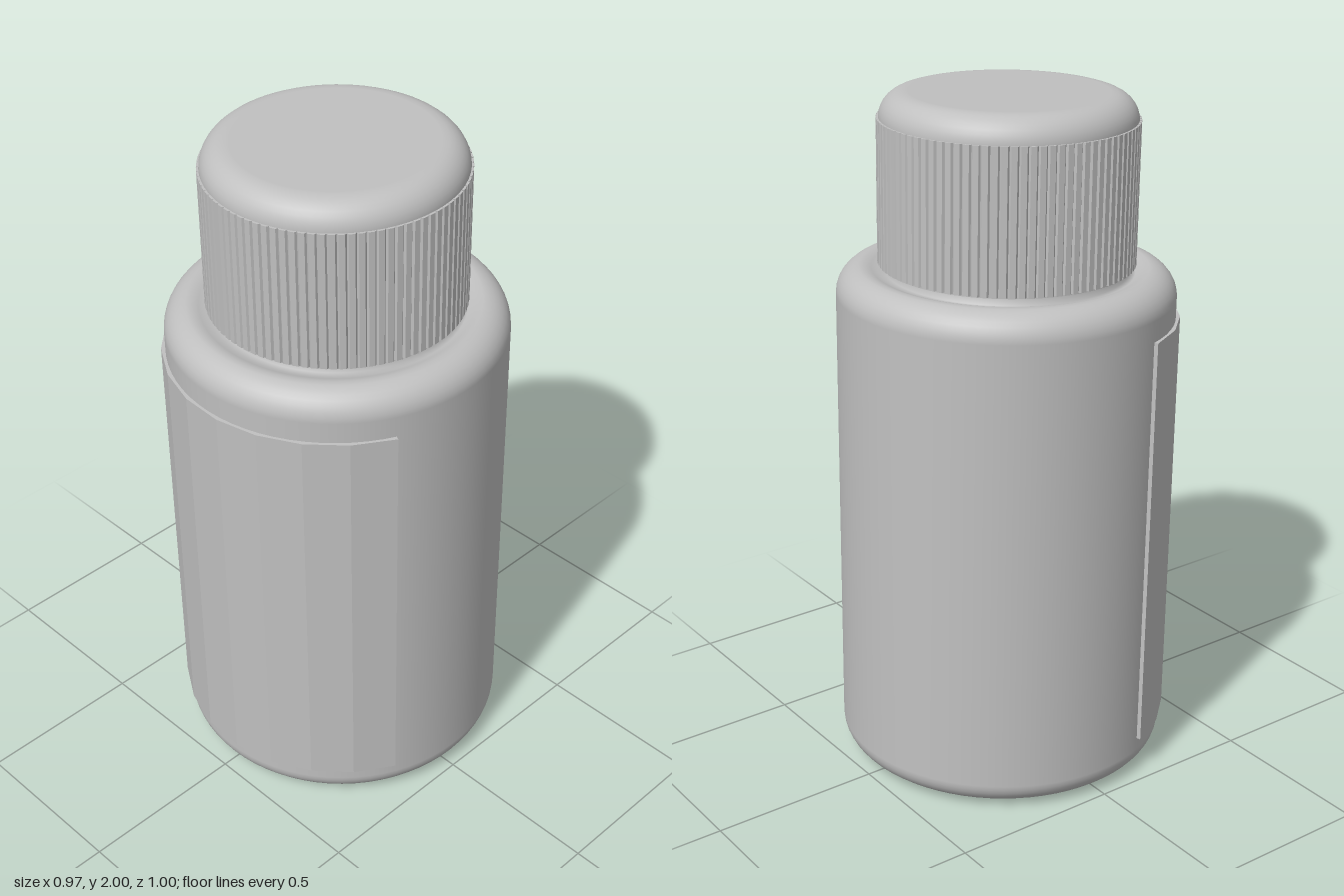
import * as THREE from 'three';

const V = (x, y) => new THREE.Vector2(x, y);

// Quarter-round profile points about (cx, cy), from angle a0 to a1 in degrees
function arc(cx, cy, r, a0, a1, n = 8) {
  return Array.from({ length: n + 1 }, (_, i) => {
    const a = THREE.MathUtils.degToRad(a0 + ((a1 - a0) * i) / n);
    return V(cx + r * Math.cos(a), cy + r * Math.sin(a));
  });
}

export function createModel() {
  const model = new THREE.Group();
  model.name = 'bottle';
  const gray = new THREE.MeshStandardMaterial({ color: 0xc0c0c0 });
  gray.name = 'plain gray';

  // The bottle leans forward very slightly about its middle
  const lean = new THREE.Group();
  lean.name = 'leaningBottle';
  lean.position.set(0, 1, 0.0025);
  lean.rotation.x = 0.0165;
  model.add(lean);

  const add = (name, geometry, y = 0) => {
    const mesh = new THREE.Mesh(geometry, gray);
    mesh.name = name;
    mesh.position.y = y - 1;
    lean.add(mesh);
  };

  // Body: domed recess underneath, rounded foot and shoulder, short neck
  add('body', new THREE.LatheGeometry([
    V(0, 0.06), V(0.1, 0.058), V(0.2, 0.051), V(0.28, 0.04), V(0.34, 0.024), V(0.38, 0.011),
    ...arc(0.415, 0.077, 0.07, -90, 0),
    ...arc(0.405, 1.42, 0.08, 0, 90),
    V(0.385, 1.494), V(0.365, 1.485), V(0.345, 1.484), V(0.345, 1.52),
  ], 72));

  // Cap: plain core with a rounded top edge
  add('cap', new THREE.LatheGeometry([
    V(0, 1.508), V(0.361, 1.508), V(0.361, 1.508), V(0.361, 1.6), V(0.361, 1.85),
    ...arc(0.286, 1.918, 0.075, 0, 90),
    V(0.28, 1.993), V(0, 1.993),
  ], 72));

  // Fine vertical ribs around the cap
  const teeth = 90;
  const ribs = new THREE.Shape();
  for (let i = 0; i < teeth; i++) {
    [[0, 0.361], [0.18, 0.367], [0.82, 0.367], [1, 0.361]].forEach(([t, r], k) => {
      if (k === 3) return;
      const a = ((i + t) / teeth) * Math.PI * 2;
      const p = [r * Math.cos(a), r * Math.sin(a)];
      if (i + k === 0) ribs.moveTo(...p);
      else ribs.lineTo(...p);
    });
  }
  ribs.closePath();
  const ribGeometry = new THREE.ExtrudeGeometry(ribs, { depth: 0.41, bevelEnabled: false });
  ribGeometry.rotateX(-Math.PI / 2);
  add('capRibs', ribGeometry, 1.511);

  // Label: faceted thin plate wrapped around the front
  const label = new THREE.Shape();
  const steps = 9;
  const at = (r, i) => {
    const a = THREE.MathUtils.degToRad(-69.5 + (133.5 * i) / steps);
    return V(r * Math.sin(a), -r * Math.cos(a));
  };
  const outline = [];
  for (let i = 0; i <= steps; i++) outline.push(at(0.497, i));
  for (let i = steps; i >= 0; i--) outline.push(at(0.483, i));
  label.setFromPoints(outline);
  const labelGeometry = new THREE.ExtrudeGeometry(label, { depth: 1.245, bevelEnabled: false });
  labelGeometry.rotateX(-Math.PI / 2);
  add('label', labelGeometry, 0.113);

  return model;
}
